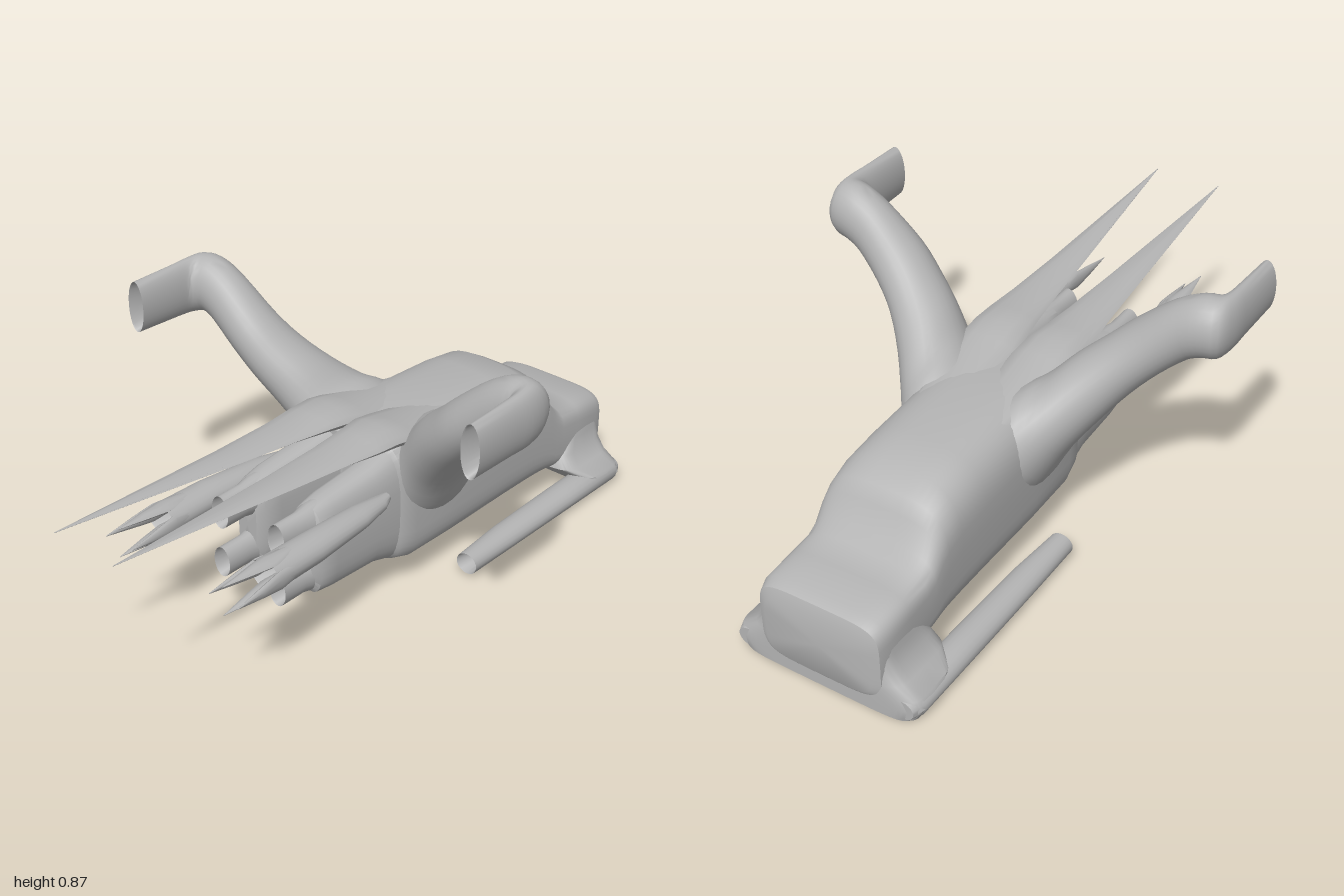
import * as THREE from 'three';
import { toCreasedNormals } from 'three/addons/utils/BufferGeometryUtils.js';

const grey = new THREE.MeshStandardMaterial({ color: 0xb4b4b4 });
grey.name = 'hull grey';

// Closed loft through rings { c: centre, u, v: half axes, n, top: roundness below and above (2 = ellipse) }.
function loft(rings, seg = 24, side = 1) {
  const pos = [], index = [];
  const put = (p) => pos.push(p[0] * side, p[1], p[2]);
  for (const { c, u, v, n = 2, top = n } of rings) {
    for (let i = 0; i < seg; i++) {
      const a = (i / seg) * Math.PI * 2;
      const power = 2 / (Math.sin(a) > 0 ? top : n);
      const f = (t) => Math.sign(t) * Math.pow(Math.abs(t), power);
      const cu = f(Math.cos(a)), sv = f(Math.sin(a));
      put([0, 1, 2].map((k) => c[k] + u[k] * cu + v[k] * sv));
    }
  }
  const last = rings.length - 1;
  for (let r = 0; r < last; r++) {
    for (let i = 0; i < seg; i++) {
      const j = (i + 1) % seg;
      const a = r * seg + i, b = r * seg + j, d = a + seg, e = b + seg;
      index.push(a, b, e, a, e, d);
    }
  }
  const c0 = rings.length * seg, c1 = c0 + 1;
  put(rings[0].c);
  put(rings[last].c);
  for (let i = 0; i < seg; i++) {
    const j = (i + 1) % seg;
    index.push(c0, j, i, c1, last * seg + i, last * seg + j);
  }
  // Turn the faces outwards if the enclosed volume is negative
  let volume = 0;
  const P = (i) => new THREE.Vector3().fromArray(pos, i * 3);
  for (let t = 0; t < index.length; t += 3) {
    volume += P(index[t]).dot(P(index[t + 1]).cross(P(index[t + 2])));
  }
  if (volume < 0) index.reverse();
  const geo = new THREE.BufferGeometry();
  geo.setAttribute('position', new THREE.Float32BufferAttribute(pos, 3));
  geo.setIndex(index);
  return toCreasedNormals(geo, 0.75);
}

// Adds in-between rings along smooth curves through the given ones
function smoothRings(rings, steps) {
  const count = (rings.length - 1) * steps;
  const [c, u, v] = ['c', 'u', 'v'].map((key) => new THREE.CatmullRomCurve3(
    rings.map((r) => new THREE.Vector3(...r[key])), false, 'catmullrom', 0.5));
  return Array.from({ length: count + 1 }, (_, i) => {
    const t = i / count;
    return { c: c.getPoint(t).toArray(), u: u.getPoint(t).toArray(), v: v.getPoint(t).toArray() };
  });
}

// Ring facing along z
const zRing = (x, y, z, rx, ry, n = 2, top = n) => ({ c: [x, y, z], u: [rx, 0, 0], v: [0, ry, 0], n, top });

// Rings of a tapering hollow at the end of a tube along z
const mouth = (x, y, z, rx, ry, depth) => [
  zRing(x, y, z, rx, ry),
  zRing(x, y, z - 0.004, rx * 0.92, ry * 0.95),
  zRing(x, y, z - depth * 0.6, rx * 0.75, ry * 0.8),
  zRing(x, y, z - depth, rx * 0.4, ry * 0.45),
];

export function createModel() {
  const model = new THREE.Group();
  model.name = 'spacecraft';
  const add = (name, geo) => {
    const mesh = new THREE.Mesh(geo, grey);
    mesh.name = name;
    model.add(mesh);
  };

  // Main hull: z, half width, bottom, top, squareness of the upper half
  const hull = [
    [-1.0, 0.17, 0.05, 0.25, 5], [-0.99, 0.192, 0.035, 0.28, 5], [-0.96, 0.2, 0.035, 0.295, 5],
    [-0.86, 0.2, 0.06, 0.302, 5], [-0.78, 0.2, 0.088, 0.31, 4.5], [-0.745, 0.2, 0.09, 0.34, 4],
    [-0.71, 0.2, 0.09, 0.41, 3.5], [-0.68, 0.2, 0.09, 0.45, 3.3], [-0.62, 0.2, 0.09, 0.485, 3.1],
    [-0.5, 0.2, 0.09, 0.505, 3], [-0.25, 0.2, 0.088, 0.513, 3.3], [-0.06, 0.195, 0.088, 0.513, 4.2],
    [0.0, 0.185, 0.105, 0.505, 4.5], [0.02, 0.165, 0.125, 0.485, 4.5],
  ];
  add('hull', loft(hull.map(([z, w, b, t, top]) => zRing(0, (b + t) / 2, z, w, (t - b) / 2, 5, top)), 48));

  // Flared base under the tail: y, half width, half depth
  const base = [
    [0.0, 0.265, 0.05], [0.01, 0.285, 0.065], [0.04, 0.3, 0.08], [0.07, 0.29, 0.1],
    [0.1, 0.245, 0.12], [0.14, 0.215, 0.115], [0.18, 0.203, 0.1], [0.22, 0.196, 0.08],
  ];
  add('tailBase', loft(base.map(([y, w, d]) => (
    { c: [0, y, d - 0.993], u: [w, 0, 0], v: [0, 0, d], n: 6 })), 48));

  for (const side of [1, -1]) {
    const tag = side > 0 ? 'left' : 'right';
    const part = (name, rings, seg) => add(tag + name, loft(rings, seg, side));

    // Landing skid with an open front end
    part('Skid', [
      zRing(0.25, 0.04, -0.985, 0.035, 0.03), zRing(0.25, 0.04, -0.95, 0.05, 0.04),
      zRing(0.251, 0.041, -0.7, 0.05, 0.038), zRing(0.255, 0.042, -0.4, 0.046, 0.036),
      ...mouth(0.262, 0.042, -0.215, 0.037, 0.034, 0.1),
    ], 20);

    // Raised arm growing out of the hull side and bending forward to an open nozzle
    part('Arm', [
      ...smoothRings([
        { c: [0.1, 0.34, -0.19], u: [0, 0, -0.2], v: [-0.03, 0.15, 0] },
        { c: [0.16, 0.38, -0.18], u: [0.01, 0, -0.18], v: [-0.035, 0.145, 0] },
        { c: [0.21, 0.45, -0.14], u: [0.015, 0, -0.145], v: [-0.045, 0.1, 0] },
        { c: [0.27, 0.525, -0.09], u: [0.015, 0, -0.117], v: [-0.048, 0.083, 0] },
        { c: [0.34, 0.6, -0.047], u: [0.01, 0, -0.1], v: [-0.045, 0.072, 0] },
        { c: [0.41, 0.67, -0.022], u: [0.01, 0, -0.088], v: [-0.043, 0.069, 0] },
        { c: [0.5, 0.747, -0.012], u: [0.005, 0, -0.075], v: [-0.028, 0.08, 0] },
        { c: [0.56, 0.778, -0.008], u: [0.01, 0, -0.072], v: [-0.01, 0.089, 0] },
        { c: [0.6, 0.78, 0.005], u: [0.028, 0, -0.066], v: [0, 0.09, 0] },
        { c: [0.612, 0.78, 0.045], u: [0.034, 0, -0.035], v: [0, 0.087, 0] },
        { c: [0.613, 0.78, 0.1], u: [0.033, 0, -0.005], v: [0, 0.084, 0] },
      ], 3),
      ...mouth(0.615, 0.78, 0.255, 0.031, 0.08, 0.18),
    ], 28);

    // Long flat spike growing out of the deck
    part('Spike', [
      zRing(0.07, 0.48, -0.35, 0.07, 0.015), zRing(0.085, 0.495, -0.18, 0.085, 0.022),
      zRing(0.088, 0.512, -0.06, 0.095, 0.03), zRing(0.09, 0.525, 0.01, 0.09, 0.034),
      zRing(0.095, 0.53, 0.09, 0.082, 0.024), zRing(0.096, 0.536, 0.2, 0.068, 0.014),
      zRing(0.099, 0.547, 0.4, 0.05, 0.008), zRing(0.11, 0.59, 1.0, 0.001, 0.001),
    ], 12);

    // Tall nose pod that carries two barrels
    part('NosePod', [
      zRing(0.1, 0.3, -0.1, 0.085, 0.2, 3), zRing(0.105, 0.3, 0.0, 0.078, 0.185, 3),
      zRing(0.108, 0.298, 0.08, 0.066, 0.16, 3), zRing(0.108, 0.295, 0.25, 0.06, 0.15, 3),
      zRing(0.108, 0.292, 0.31, 0.055, 0.14, 3), zRing(0.108, 0.29, 0.33, 0.035, 0.11, 3),
    ], 28);
    for (const [name, y, rx, ry] of [['UpperBarrel', 0.378, 0.032, 0.052], ['LowerBarrel', 0.213, 0.031, 0.048]]) {
      part(name, [
        zRing(0.108, y, 0.2, rx * 1.4, ry * 1.25), zRing(0.108, y, 0.31, rx * 1.3, ry * 1.15),
        zRing(0.108, y, 0.35, rx, ry), ...mouth(0.108, y, 0.435, rx, ry, 0.1),
      ], 20);
    }

    // Claw: tapered forearm ending in four prongs
    part('ClawArm', [
      zRing(0.18, 0.375, 0.06, 0.015, 0.013), zRing(0.187, 0.375, 0.1, 0.028, 0.02),
      zRing(0.193, 0.378, 0.2, 0.042, 0.032), zRing(0.2, 0.38, 0.4, 0.052, 0.042),
      ...mouth(0.2, 0.38, 0.57, 0.054, 0.045, 0.12),
    ], 20);
    for (let i = 0; i < 4; i++) {
      const a = (i * Math.PI) / 2;
      const dx = Math.cos(a), dy = Math.sin(a);
      const prong = (z, out, w, t) => ({
        c: [0.2 + dx * out, 0.38 + dy * out * 0.85, z],
        u: [-dy * w, dx * w, 0], v: [dx * t, dy * t, 0],
      });
      part('ClawProng' + (i + 1), [
        prong(0.48, 0.04, 0.02, 0.01), prong(0.56, 0.045, 0.03, 0.011),
        prong(0.63, 0.048, 0.018, 0.009), prong(0.725, 0.052, 0.001, 0.001),
      ], 10);
    }
  }
  return model;
}
